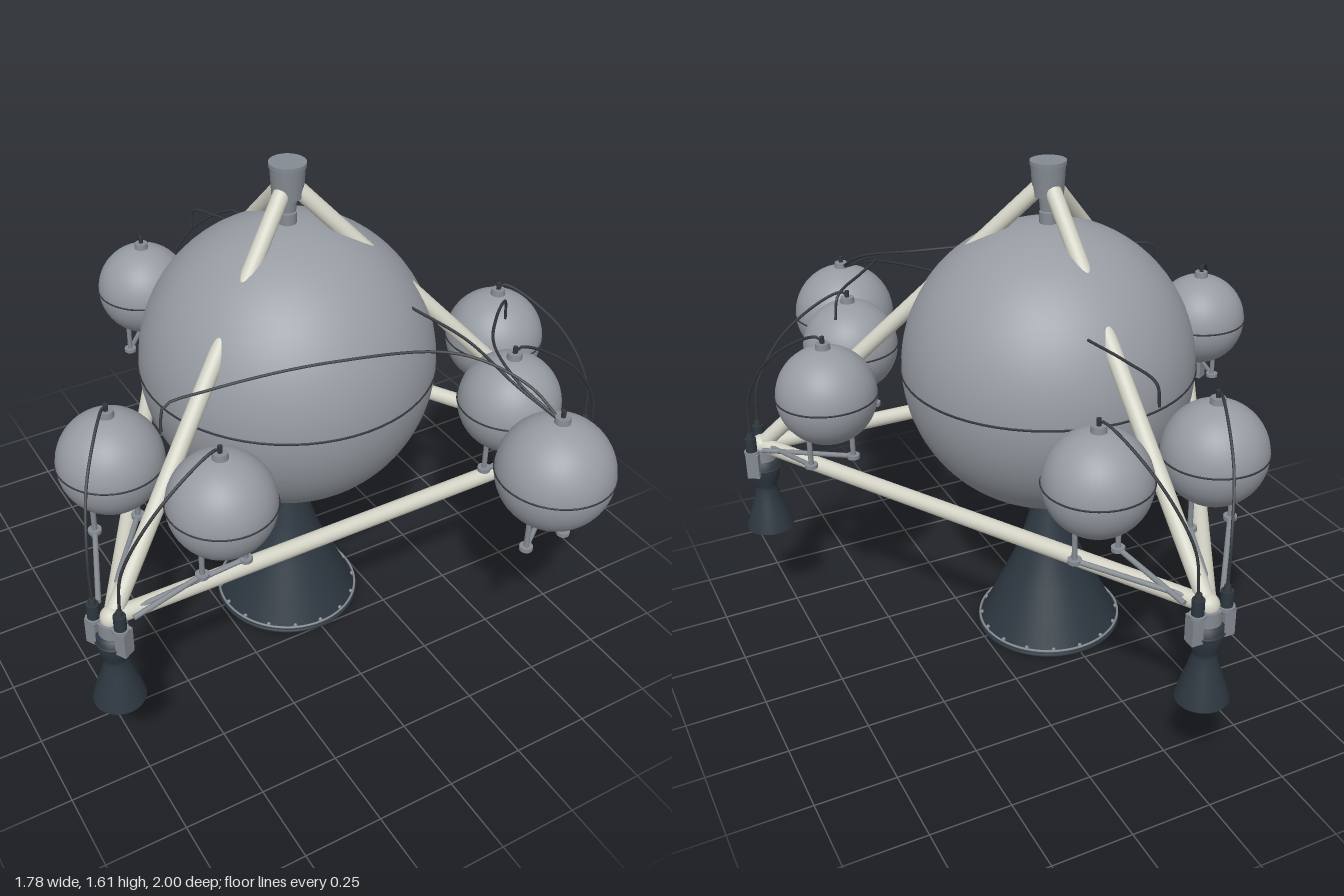
import * as THREE from 'three';

const mat = (name, color, side = THREE.FrontSide) => {
  const m = new THREE.MeshStandardMaterial({ color, side });
  m.name = name;
  return m;
};

export function createModel() {
  const tankGrey = mat('tank grey', 0x979ca3);
  const steel = mat('steel grey', 0x858b92);
  const cream = mat('frame cream', 0xd3d2c5);
  const dark = mat('nozzle dark', 0x2d3740, THREE.DoubleSide);
  const black = mat('line black', 0x34383c);

  const root = new THREE.Group();
  root.name = 'propulsionModule';
  root.position.z = 0.015;

  const V = (x, y, z) => new THREE.Vector3(x, y, z);
  const add = (name, geo, m, p = V(0, 0, 0), parent = root) => {
    const mesh = new THREE.Mesh(geo, m);
    mesh.name = name;
    mesh.position.copy(p);
    parent.add(mesh);
    return mesh;
  };
  // Round bar between two points
  const rod = (name, a, b, r, m, seg = 16) => {
    const mesh = add(name, new THREE.CylinderGeometry(r, r, a.distanceTo(b), seg), m,
      a.clone().add(b).multiplyScalar(0.5));
    mesh.quaternion.setFromUnitVectors(V(0, 1, 0), b.clone().sub(a).normalize());
  };
  const pipe = (name, pts, r = 0.0045) =>
    add(name, new THREE.TubeGeometry(new THREE.CatmullRomCurve3(pts), 40, r, 6), black);
  const ring = (name, r, t, m, p) => {
    add(name, new THREE.TorusGeometry(r, t, 6, 64), m, p).rotation.x = Math.PI / 2;
  };
  const lathe = (name, pts, m, p, parent) =>
    add(name, new THREE.LatheGeometry(pts.map(q => new THREE.Vector2(...q)), 48), m, p, parent);
  // Point given in a corner's own frame (z points outward)
  const at = (angle, x, y, z) => V(x, y, z).applyAxisAngle(V(0, 1, 0), angle);

  // Main tank with weld seam and filler neck
  add('mainTank', new THREE.SphereGeometry(0.457, 64, 40), tankGrey, V(0, 0.96, 0));
  ring('mainTankSeam', 0.457, 0.004, black, V(0, 0.957, 0));
  add('fillerNeck', new THREE.CylinderGeometry(0.027, 0.027, 0.06, 24), steel, V(0, 1.42, 0));

  // Top hub
  add('topHub', new THREE.CylinderGeometry(0.053, 0.046, 0.105, 32), steel, V(0, 1.5525, 0));
  add('hubRim', new THREE.CylinderGeometry(0.055, 0.055, 0.012, 32), steel, V(0, 1.599, 0));
  add('hubSocket', new THREE.CylinderGeometry(0.03, 0.025, 0.06, 24), steel, V(0, 1.485, 0));

  // Main engine bell with bolted rim
  lathe('mainNozzle', [[0.238, 0], [0.19, 0.1], [0.15, 0.185], [0.11, 0.27], [0.085, 0.345],
    [0.06, 0.43], [0.044, 0.485], [0.04, 0.53]], dark);
  ring('nozzleRim', 0.236, 0.006, dark, V(0, 0.006, 0));
  ring('nozzleBand', 0.236, 0.004, steel, V(0, 0.022, 0));
  for (let i = 0; i < 16; i++) {
    const a = i * Math.PI / 8;
    add('rimBolt', new THREE.SphereGeometry(0.007, 8, 6), steel, at(a, 0, 0.024, 0.229));
  }

  // Small spherical tank with seam, cap and two support posts
  const tank = (name, c, r, footY, mounts) => {
    add(name, new THREE.SphereGeometry(r, 40, 28), tankGrey, c);
    ring(name + 'Seam', r, 0.003, black, c);
    add(name + 'Cap', new THREE.CylinderGeometry(0.021, 0.024, 0.024, 20), steel, V(c.x, c.y + r + 0.004, c.z));
    add(name + 'Fitting', new THREE.CylinderGeometry(0.007, 0.007, 0.03, 10), black, V(c.x, c.y + r + 0.022, c.z));
    [-1, 1].forEach((s, i) => {
      const foot = V(c.x + s * 0.068, footY, c.z);
      rod(name + 'Post', foot, V(foot.x, c.y - r * 0.85, c.z), 0.008, steel, 10);
      add(name + 'Foot', new THREE.CylinderGeometry(0.02, 0.02, 0.012, 16), steel, foot);
      rod(name + 'Arm', foot, mounts[i], 0.008, steel, 10);
    });
  };

  // Triangular frame: three corners, each with a thruster and two tanks
  const R = 0.94, beamY = 0.64;
  for (let k = 0; k < 3; k++) {
    const a = Math.PI / 3 + k * Math.PI * 2 / 3;
    const corner = at(a, 0, beamY, R);
    rod('baseBeam', corner, at(a + Math.PI * 2 / 3, 0, beamY, R), 0.025, cream, 24);
    rod('upperStrut', corner, V(0, 1.55, 0), 0.025, cream, 24);
    add('cornerNode', new THREE.SphereGeometry(0.034, 20, 14), cream, corner);

    // Thruster cluster, built in the corner's own frame
    const unit = new THREE.Group();
    unit.name = 'thrusterUnit';
    unit.position.copy(at(a, 0, 0, R));
    unit.rotation.y = a;
    root.add(unit);
    lathe('smallNozzle', [[0.077, 0.337], [0.062, 0.39], [0.045, 0.44], [0.034, 0.48],
      [0.034, 0.495], [0.046, 0.52], [0.05, 0.55], [0.05, 0.59], [0, 0.592]], dark, V(0, 0, 0), unit);
    ring('smallNozzleCollar', 0.049, 0.005, black, at(a, 0, 0.558, R));
    add('thrusterMount', new THREE.CylinderGeometry(0.042, 0.042, 0.05, 24), steel, V(0, 0.61, 0), unit);
    for (const s of [-1, 1]) {
      add('valveBlock', new THREE.BoxGeometry(0.034, 0.085, 0.04), steel, V(s * 0.05, 0.59, 0.018), unit);
      add('valve', new THREE.CylinderGeometry(0.018, 0.018, 0.055, 16), dark, V(s * 0.045, 0.658, 0.022), unit);
      add('valveFlange', new THREE.CylinderGeometry(0.024, 0.024, 0.01, 16), steel, V(s * 0.045, 0.634, 0.022), unit);
      add('valveTop', new THREE.CylinderGeometry(0.009, 0.012, 0.018, 12), black, V(s * 0.045, 0.694, 0.022), unit);

      // Side tank, its arms and feed line
      const side = s < 0 ? 'rightSideTank' : 'leftSideTank';
      const c = at(a, s * 0.185, 0.92, 0.663);
      const mount = at(a, s * 0.06, 0.65, 0.92), mount2 = at(a, s * 0.035, 0.65, 0.9);
      tank(side, c, 0.154, 0.69, [mount, mount2]);
      pipe('feedLine', [[0.045, 0.69, 0.962], [0.055, 0.83, 0.95], [0.11, 0.99, 0.86],
        [0.172, 1.1, 0.71], [0.185, 1.105, 0.672], [0.185, 1.07, 0.663]]
        .map(([x, y, z]) => at(a, s * x, y, z)));
    }
  }

  // Extra front tank with arms to the left front corner
  tank('frontTank', V(0.397, 0.905, 0.81), 0.169, 0.652, [V(0.72, 0.64, 0.53), V(0.76, 0.64, 0.53)]);

  // Pressure lines over the tanks
  const lines = [
    [[0.397, 1.07, 0.81], [0.36, 1.14, 0.7], [0.24, 1.19, 0.54], [-0.1, 1.205, 0.42],
      [-0.44, 1.175, 0.335], [-0.56, 1.155, 0.32], [-0.578, 1.09, 0.335]],
    [[0.397, 1.07, 0.81], [0.345, 1.14, 0.67], [0.36, 1.18, 0.54], [0.45, 1.185, 0.43],
      [0.56, 1.16, 0.335], [0.575, 1.09, 0.325]],
    [[0.397, 1.07, 0.81], [0.34, 1.13, 0.67], [0.31, 1.18, 0.48], [0.25, 1.205, 0.29]],
    [[0.07, 1.2, -0.385], [0.035, 1.19, -0.54], [0.005, 1.165, -0.65], [0, 1.1, -0.66]],
  ];
  for (const l of lines) pipe('pressureLine', l.map(p => V(...p)));

  const model = new THREE.Group();
  model.name = 'model';
  model.add(root);
  return model;
}
